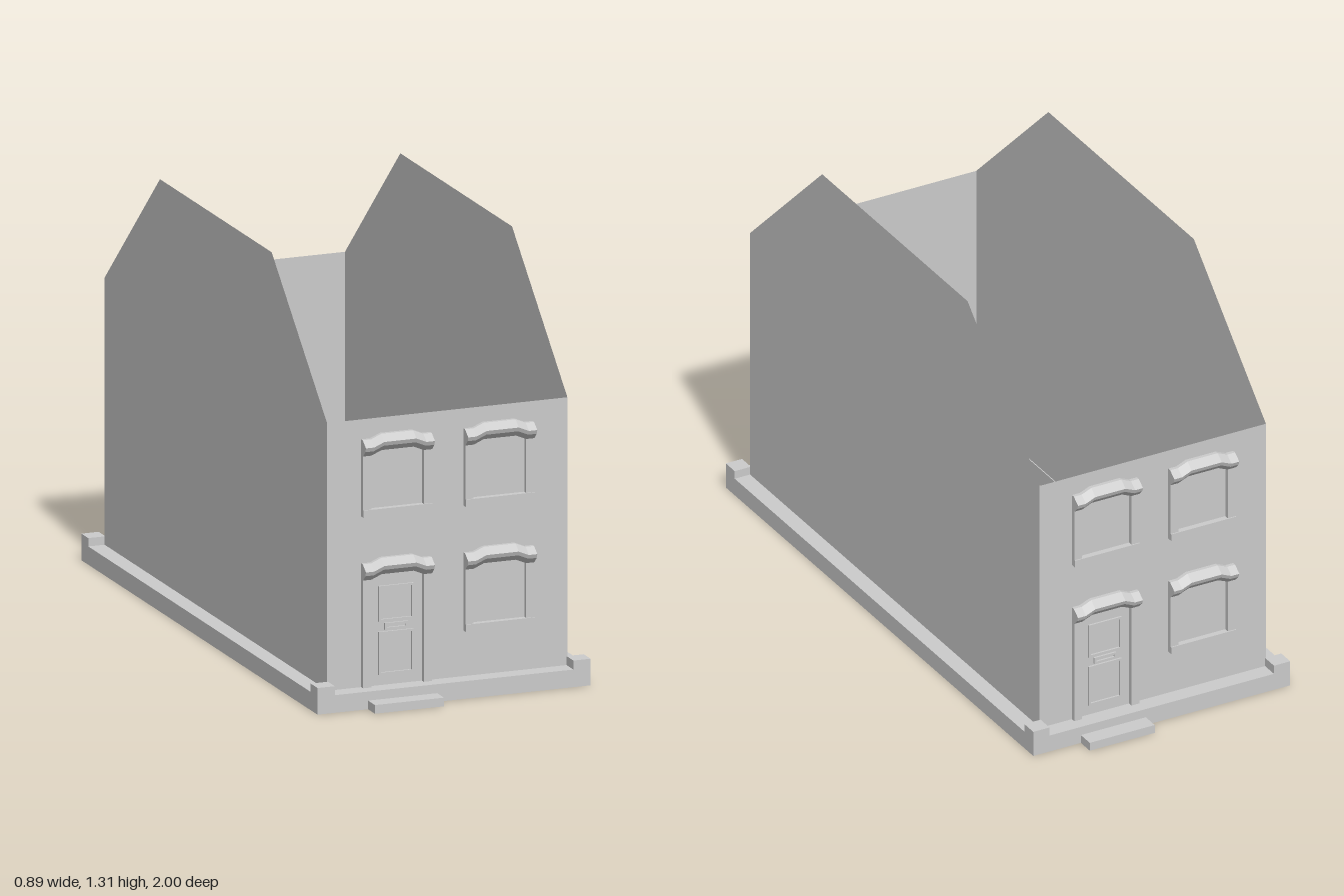
import * as THREE from 'three';

const material = new THREE.MeshStandardMaterial({ color: 0xcccccc, flatShading: true, side: THREE.DoubleSide });
const HALF_W = 0.39, WALL_Z = 0.89, EAVES = 0.89, RIDGE = 1.31;

function add(parent, name, geometry) {
  const mesh = new THREE.Mesh(geometry, material);
  mesh.name = name;
  parent.add(mesh);
  return mesh;
}

// Box given by its minimum and maximum corners
function block(parent, name, x0, x1, y0, y1, z0, z1) {
  const mesh = add(parent, name, new THREE.BoxGeometry(x1 - x0, y1 - y0, z1 - z0));
  mesh.position.set((x0 + x1) / 2, (y0 + y1) / 2, (z0 + z1) / 2);
  return mesh;
}

// Moulded hood: sloped profile swept along a stepped arch
function hoodGeometry() {
  const profile = new THREE.Shape([
    [0, -0.05], [0.015, -0.05], [0.033, -0.032], [0.038, -0.019], [0.012, 0], [0, 0],
  ].map(([z, y]) => new THREE.Vector2(z, y)));
  const stations = [-0.112, -0.085, -0.052, 0.052, 0.085, 0.112];
  const rise = [-0.014, -0.014, 0, 0, -0.014, -0.014];
  const g = new THREE.ExtrudeGeometry(profile, { depth: 5, steps: 5, bevelEnabled: false });
  g.rotateY(-Math.PI / 2);
  const p = g.attributes.position;
  for (let i = 0; i < p.count; i++) {
    const k = Math.round(5 + p.getX(i));
    p.setXY(i, stations[k], p.getY(i) + rise[k]);
  }
  g.computeVertexNormals();
  return g;
}

// Thin raised rectangular moulding with an open middle
function moulding(parent, name, x0, x1, y0, y1) {
  const rect = (C, a, b, c, d) => new C([[a, c], [b, c], [b, d], [a, d]].map(q => new THREE.Vector2(...q)));
  const t = 0.007;
  const shape = rect(THREE.Shape, x0, x1, y0, y1);
  shape.holes.push(rect(THREE.Path, x0 + t, x1 - t, y0 + t, y1 - t));
  add(parent, name, new THREE.ExtrudeGeometry(shape, { depth: 0.006, bevelEnabled: false }));
}

// Jambs and hood shared by doors and windows; local z = 0 is the wall face
function opening(parent, name, x, bottom, top) {
  const g = new THREE.Group();
  g.name = name;
  g.position.set(x, 0, WALL_Z);
  for (const s of [-1, 1]) {
    const a = s * 0.112, b = s * 0.085;
    block(g, 'jamb', Math.min(a, b), Math.max(a, b), bottom, top - 0.055, 0, 0.015);
  }
  add(g, 'hood', hoodGeometry()).position.y = top;
  parent.add(g);
  return g;
}

function windowUnit(parent, x, bottom, top) {
  const g = opening(parent, 'window', x, bottom, top);
  block(g, 'sill', -0.112, 0.112, bottom, bottom + 0.023, 0, 0.019);
}

function doorUnit(parent, x) {
  const g = opening(parent, 'door', x, 0.055, 0.455);
  moulding(g, 'upperPanel', -0.057, 0.057, 0.254, 0.365);
  moulding(g, 'lowerPanel', -0.057, 0.057, 0.088, 0.222);
  moulding(g, 'letterbox', -0.038, 0.038, 0.227, 0.248);
  block(g, 'doorstep', -0.112, 0.112, 0, 0.027, 0.055, 0.11);
}

// One end wall with its door, windows and plinth
function facade() {
  const g = new THREE.Group();
  g.name = 'facade';
  add(g, 'endWall', new THREE.PlaneGeometry(HALF_W * 2, EAVES)).position.set(0, EAVES / 2, WALL_Z);
  doorUnit(g, -0.167);
  windowUnit(g, 0.165, 0.197, 0.455);
  windowUnit(g, -0.167, 0.587, 0.842);
  windowUnit(g, 0.165, 0.587, 0.842);
  block(g, 'endPlinth', -HALF_W, HALF_W, 0, 0.055, WALL_Z, 0.945);
  for (const s of [-1, 1]) {
    block(g, 'cornerBlock', s > 0 ? 0.387 : -0.443, s > 0 ? 0.443 : -0.387, 0, 0.083, WALL_Z, 0.945);
  }
  return g;
}

// Side wall with sloped shoulders, and its plinth
function sideWall(s) {
  const g = new THREE.Group();
  g.name = s > 0 ? 'leftSide' : 'rightSide';
  const outline = new THREE.Shape([
    [-WALL_Z, 0], [WALL_Z, 0], [WALL_Z, EAVES], [0.447, RIDGE], [-0.447, RIDGE], [-WALL_Z, EAVES],
  ].map(q => new THREE.Vector2(...q)));
  const wall = add(g, 'sideWall', new THREE.ShapeGeometry(outline));
  wall.rotation.y = s * Math.PI / 2;
  wall.position.x = s * HALF_W;
  block(g, 'sidePlinth', s > 0 ? 0.387 : -0.443, s > 0 ? 0.443 : -0.387, 0, 0.057, -WALL_Z, WALL_Z);
  return g;
}

export function createModel() {
  const house = new THREE.Group();
  house.name = 'house';
  const front = facade();
  const back = facade();
  back.name = 'backFacade';
  back.rotation.y = Math.PI;
  house.add(front, back, sideWall(1), sideWall(-1));
  return house;
}
